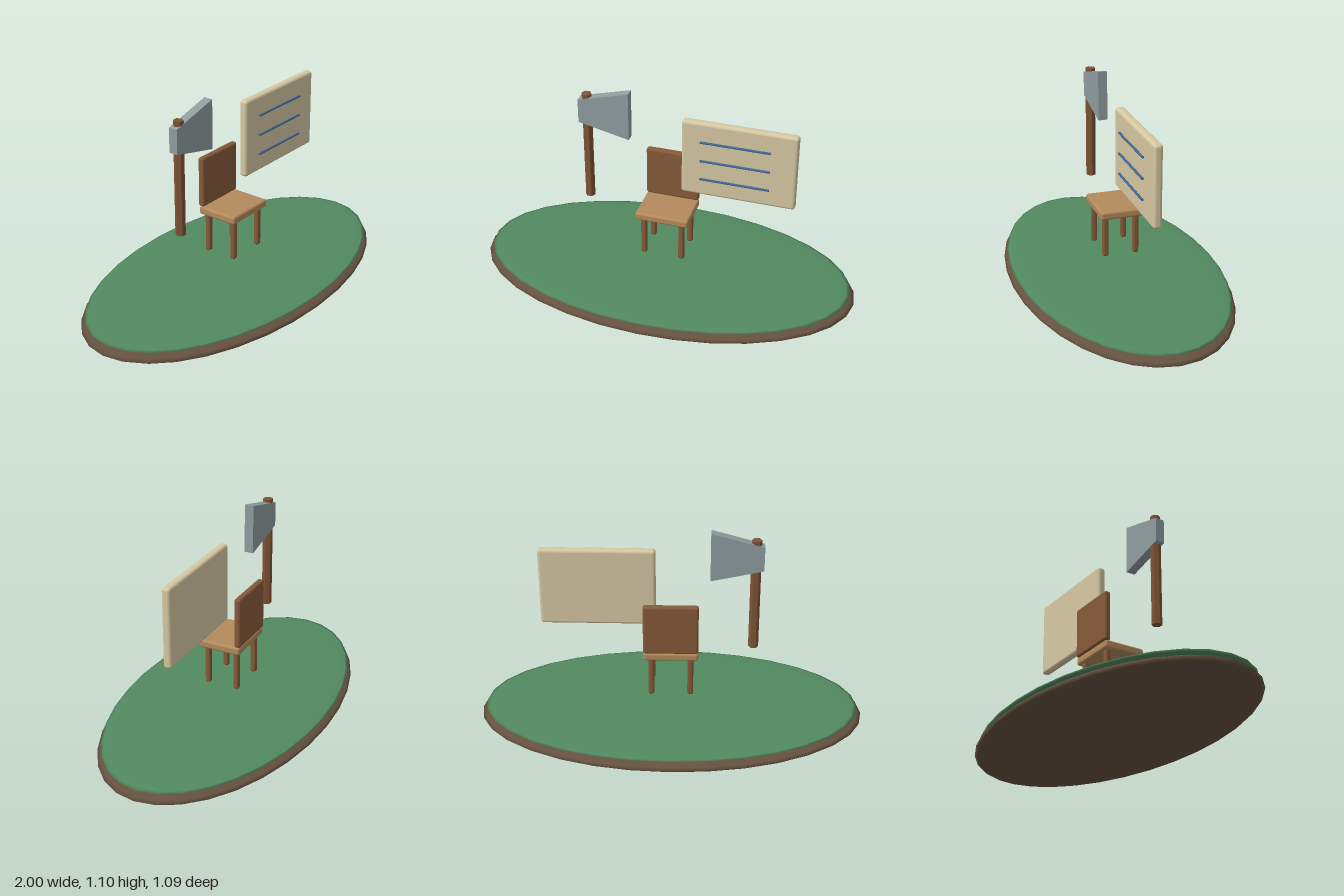
import * as THREE from 'three';
import { RoundedBoxGeometry } from 'three/addons/geometries/RoundedBoxGeometry.js';

const mat = (color, flatShading = false) => new THREE.MeshStandardMaterial({ color, flatShading });
const soil = mat(0x65513f), grass = mat(0x528a60), darkWood = mat(0x865a3a), lightWood = mat(0xb58a5c);
const handleWood = mat(0x7f5436, true), steel = mat(0x8f9da0, true), board = mat(0xd6c8a2), ink = mat(0x3f6898);

function add(parent, name, geometry, material, x, y, z) {
  const mesh = new THREE.Mesh(geometry, material);
  mesh.name = name;
  mesh.position.set(x, y, z);
  parent.add(mesh);
  return mesh;
}

function addGroup(parent, name) {
  const group = new THREE.Group();
  group.name = name;
  parent.add(group);
  return group;
}

const rounded = (w, h, d, r) => new RoundedBoxGeometry(w, h, d, 3, r);

export function createModel() {
  const model = new THREE.Group();
  model.name = 'islandScene';

  // Two flattened spheroids form the island
  const island = addGroup(model, 'island');
  const spheroid = new THREE.SphereGeometry(1, 32, 16);
  add(island, 'soil', spheroid, soil, 0, 0.06, 0).scale.set(1, 0.06, 0.545);
  add(island, 'grass', spheroid, grass, 0, 0.104, 0).scale.set(0.975, 0.018, 0.527);

  // Chair hovering above the grass
  const chair = addGroup(model, 'chair');
  add(chair, 'seat', rounded(0.28, 0.043, 0.225, 0.012), lightWood, 0, 0.451, 0);
  add(chair, 'backrest', rounded(0.28, 0.27, 0.035, 0.012), darkWood, 0, 0.608, -0.1);
  for (const x of [-0.1, 0.1]) {
    for (const z of [-0.08, 0.08]) {
      add(chair, 'leg', rounded(0.03, 0.22, 0.03, 0.01), darkWood, x, 0.328, z);
    }
  }

  // Axe: hexagonal handle and a head that flares towards the cutting edge
  const axe = addGroup(model, 'axe');
  add(axe, 'handle', new THREE.CylinderGeometry(0.026, 0.026, 0.6, 6), handleWood, -0.42, 0.763, 0)
    .rotation.y = Math.PI / 6;
  const head = new THREE.BoxGeometry(0.265, 1, 0.048);
  const p = head.attributes.position;
  for (let i = 0; i < p.count; i++) {
    const top = p.getY(i) > 0;
    const edge = p.getX(i) > 0;
    p.setY(i, edge ? (top ? 1.104 : 0.845) : (top ? 1.032 : 0.904));
  }
  head.computeVertexNormals();
  add(axe, 'axeHead', head, steel, -0.328, 0, 0);

  // Board with three raised lines
  const sign = addGroup(model, 'sign');
  add(sign, 'board', rounded(0.585, 0.416, 0.045, 0.016), board, 0.37, 0.798, 0);
  for (const y of [0.904, 0.797, 0.691]) {
    add(sign, 'line', new THREE.CylinderGeometry(0.006, 0.006, 0.355, 8), ink, 0.354, y, 0.032)
      .rotation.z = Math.PI / 2;
  }

  return model;
}
